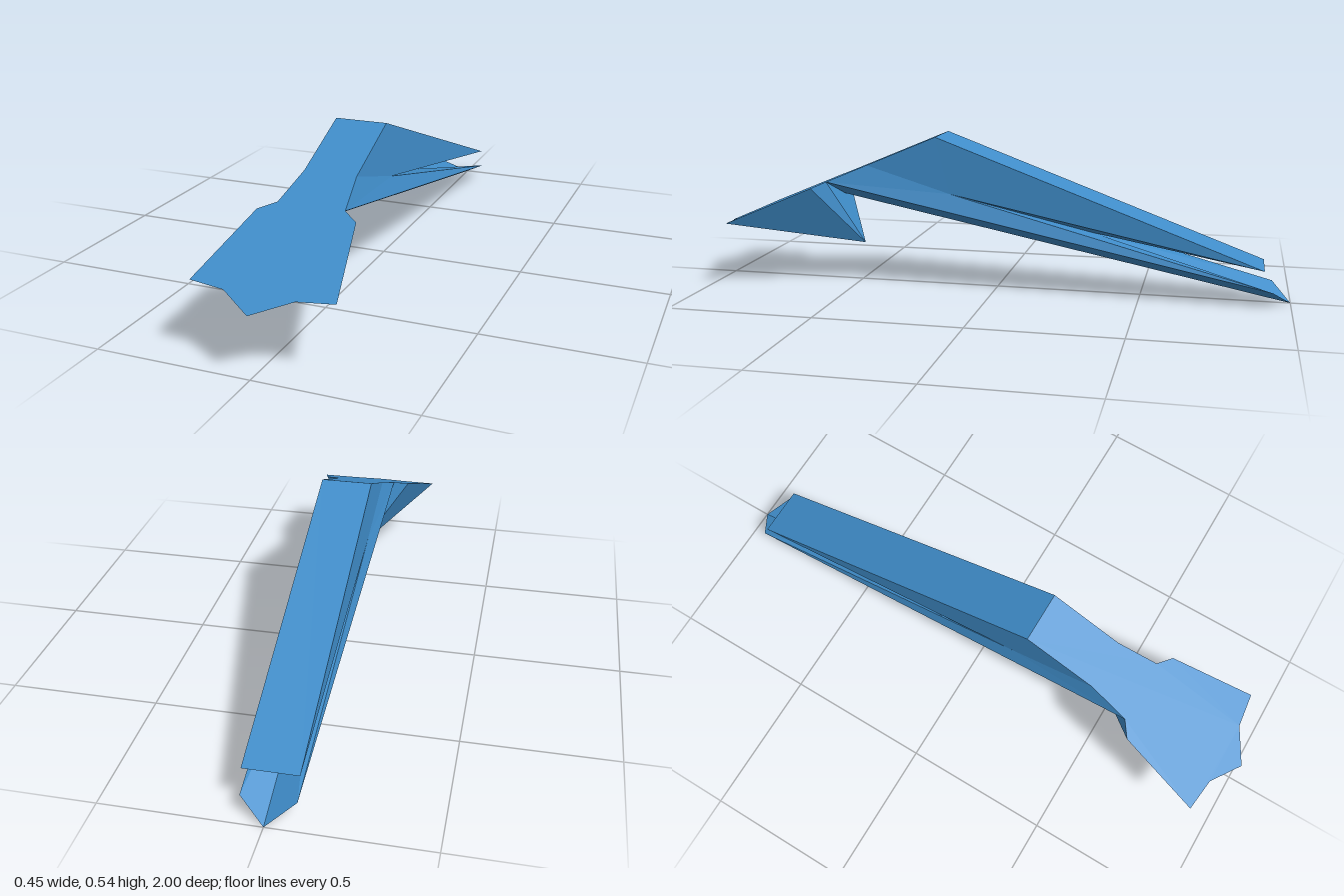
import * as THREE from 'three';

// height decides the depth of everything on the sloping front plane
const planeZ = (y) => 0.2 + (0.535 - y) * 2.36;
const onPlane = (x, y) => [x, y, planeZ(y)];
const flip = ([x, y, z]) => [-x, y, z];

// Flat faced mesh from triangles; side triangles are repeated on the other side
function facetMesh(name, material, sideFaces, middleFaces = []) {
  const mirrored = sideFaces.map(([a, b, c]) => [flip(a), flip(c), flip(b)]);
  const points = [...sideFaces, ...mirrored, ...middleFaces].flat(2);
  const geometry = new THREE.BufferGeometry();
  geometry.setAttribute('position', new THREE.Float32BufferAttribute(points, 3));
  geometry.computeVertexNormals();
  const mesh = new THREE.Mesh(geometry, material);
  mesh.name = name;
  return mesh;
}

export function createModel() {
  const group = new THREE.Group();
  group.name = 'wedgeHead';
  const blue = new THREE.MeshStandardMaterial({ color: 0x408ecb, side: THREE.DoubleSide });
  blue.name = 'blue';

  // Corners of the front plane, from the middle of the tip up to the top edge
  const tip = onPlane(0, 0.195);
  const inner = onPlane(0.111, 0.225);
  const wing = onPlane(0.227, 0.231);
  const shoulder = onPlane(0.162, 0.354);
  const neck = onPlane(0.111, 0.37);
  const waist = onPlane(0.088, 0.43);
  const top = onPlane(0.088, 0.535);

  // Corners of the long body
  const roofEnd = [0.087, 0.125, -0.91];
  const notch = [0.087, 0.34, 0.15];
  const notchMiddle = [0, 0.21, -0.33];
  const tail = [0.085, 0.053, -0.94];
  const tailTip = [0, 0, -1];
  const keelFront = [0, 0.312, 0.56];

  // Point under the head
  const apex = [0, 0.135, 0.488];

  // Front plane
  const right = [inner, wing, shoulder, neck, waist, top];
  const outline = [tip, ...right, ...right.map(flip).reverse()];
  const shape = new THREE.Shape(outline.map(([x, y]) => new THREE.Vector2(x, y)));
  const plate = new THREE.ShapeGeometry(shape);
  const pos = plate.attributes.position;
  for (let i = 0; i < pos.count; i++) pos.setZ(i, planeZ(pos.getY(i)));
  plate.computeVertexNormals();
  const frontPlate = new THREE.Mesh(plate, blue);
  frontPlate.name = 'frontPlate';
  group.add(frontPlate);

  // Faceted underside of the head
  const rim = [tip, inner, wing, shoulder, neck];
  const fan = rim.slice(1).map((p, i) => [p, rim[i], apex]);
  group.add(facetMesh('headUnderside', blue, fan, [[flip(neck), neck, apex]]));

  // Side walls, split open towards the back
  group.add(facetMesh('sideWalls', blue, [
    [top, waist, notch], [waist, neck, notch], [neck, tail, notch], [notch, roofEnd, top],
  ]));

  // Roof and the underside of its overhang
  group.add(facetMesh('roof', blue, [[notch, notchMiddle, roofEnd]], [
    [top, roofEnd, flip(roofEnd)], [top, flip(roofEnd), flip(top)],
    [roofEnd, notchMiddle, flip(roofEnd)],
  ]));

  // Lower bar: hollowed upper faces and V-shaped keel
  group.add(facetMesh('lowerBar', blue, [
    [notch, tail, notchMiddle], [notchMiddle, tail, tailTip],
    [neck, keelFront, tailTip], [neck, tailTip, tail],
  ], [[flip(neck), keelFront, neck]]));

  return group;
}
